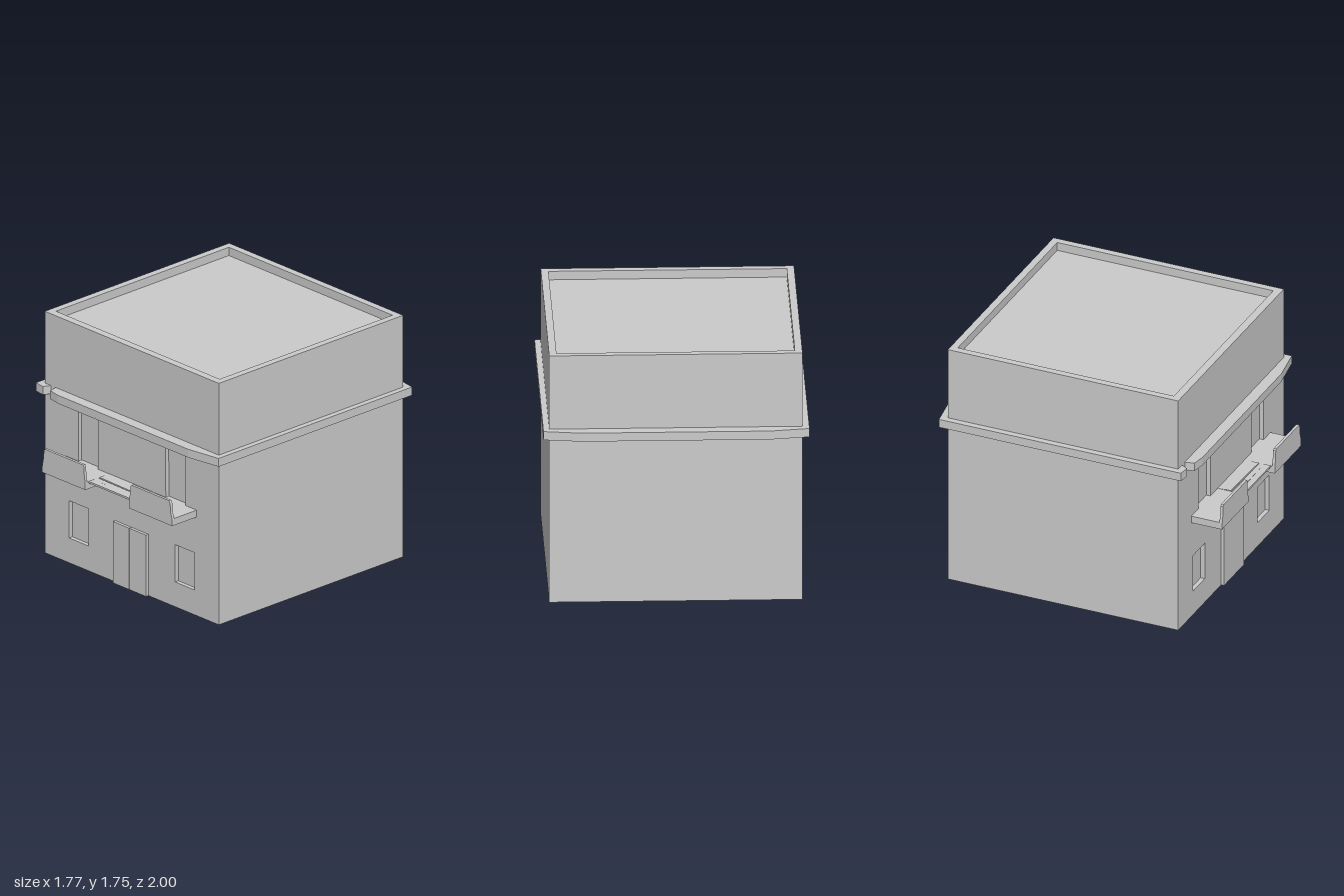
import * as THREE from 'three';

const mat = new THREE.MeshStandardMaterial({ color: 0xcccccc, flatShading: true });
const BACK = -0.915, FRONT = 0.775, HALF = 0.845, ROOF = 1.69, TOP = 1.75, RECESS = 0.03;

const points = (list) => list.map(([x, y]) => new THREE.Vector2(x, y));
const rect = (x0, x1, y0, y1) => points([[x0, y0], [x1, y0], [x1, y1], [x0, y1]]);

export function createModel() {
  const model = new THREE.Group();

  function add(name, geometry) {
    const mesh = new THREE.Mesh(geometry, mat);
    mesh.name = name;
    model.add(mesh);
    return mesh;
  }
  function box(name, x0, x1, y0, y1, z0, z1) {
    const mesh = add(name, new THREE.BoxGeometry(x1 - x0, y1 - y0, z1 - z0));
    mesh.position.set((x0 + x1) / 2, (y0 + y1) / 2, (z0 + z1) / 2);
    return mesh;
  }
  function extrude(outline, depth, holes = []) {
    const shape = new THREE.Shape(outline);
    for (const h of holes) shape.holes.push(new THREE.Path(h));
    return new THREE.ExtrudeGeometry(shape, { depth, bevelEnabled: false });
  }
  // Plan outline given as (x, -z), raised from y0 to y1
  function slab(name, outline, y0, y1, holes) {
    const g = extrude(outline, y1 - y0, holes);
    g.rotateX(-Math.PI / 2);
    g.translate(0, y0, 0);
    return add(name, g);
  }

  // Main block, with a front wall pierced by windows and balcony doorways
  box('building', -HALF, HALF, 0, ROOF, BACK, FRONT - RECESS);
  const openings = [];
  for (const s of [-1, 1]) {
    openings.push(points([[s * 0.42, 0.18], [s * 0.61, 0.18], [s * 0.61, 0.45], [s * 0.42, 0.45]]));
    openings.push(points([[s * 0.33, 0.765], [s * 0.52, 0.765], [s * 0.52, 1.16], [s * 0.325, 1.16]]));
  }
  add('frontWall', extrude(rect(-HALF, HALF, 0, ROOF), RECESS, openings))
    .position.z = FRONT - RECESS;

  // Parapet around the sunken flat roof
  slab('roofParapet', rect(-HALF, HALF, -FRONT, -BACK), ROOF, TOP,
    [rect(-0.795, 0.795, -0.72, 0.865)]);

  // Ledge around the walls, with a broken notch near the front corner
  slab('ledge', points([
    [-0.89, -0.815], [-0.81, -0.825], [-0.785, -0.775], [-0.74, -0.775], [-0.725, -0.84],
    [-0.63, -0.855], [0.63, -0.855], [0.885, -0.815], [0.885, 0.96],
    [0.63, 1], [-0.63, 1], [-0.89, 0.96],
  ]), 1.17, 1.23);

  // Double door
  for (const s of [-1, 1]) {
    const x0 = s < 0 ? -0.16 : 0.003;
    box(s < 0 ? 'rightDoor' : 'leftDoor', x0, x0 + 0.157, 0, 0.445, FRONT - 0.02, 0.797);
  }

  // Balconies: floor plus a front panel with worn sides
  box('rightBalconyFloor', -0.635, -0.215, 0.715, 0.765, FRONT, 0.98);
  box('leftBalconyFloor', 0.21, 0.63, 0.715, 0.765, FRONT, 0.98);
  const panels = {
    rightBalconyPanel: [[-0.635, 0.715], [-0.215, 0.715], [-0.215, 0.76], [-0.225, 0.83],
      [-0.228, 0.88], [-0.235, 0.89], [-0.605, 0.89], [-0.615, 0.88], [-0.62, 0.82], [-0.632, 0.76]],
    leftBalconyPanel: [[0.21, 0.715], [0.63, 0.715], [0.63, 0.76], [0.615, 0.81],
      [0.61, 0.87], [0.6, 0.89], [0.235, 0.89], [0.225, 0.88], [0.22, 0.82], [0.21, 0.76]],
  };
  for (const [name, outline] of Object.entries(panels)) {
    add(name, extrude(points(outline), 0.02)).position.z = 0.98;
  }

  // Slightly crooked planks bridging the balconies: z range at each end
  const planks = [
    [0.777, 0.827, 0.777, 0.829],
    [0.829, 0.87, 0.831, 0.882],
    [0.879, 0.922, 0.888, 0.919],
    [0.928, 0.97, 0.921, 0.97],
  ];
  planks.forEach(([a0, a1, b0, b1], i) => {
    const lift = (i % 2) * 0.003;
    slab('plank' + (i + 1), points([[-0.215, -a1], [0.21, -b1], [0.21, -b0], [-0.215, -a0]]),
      0.754 + lift, 0.767 + lift);
  });

  return model;
}
